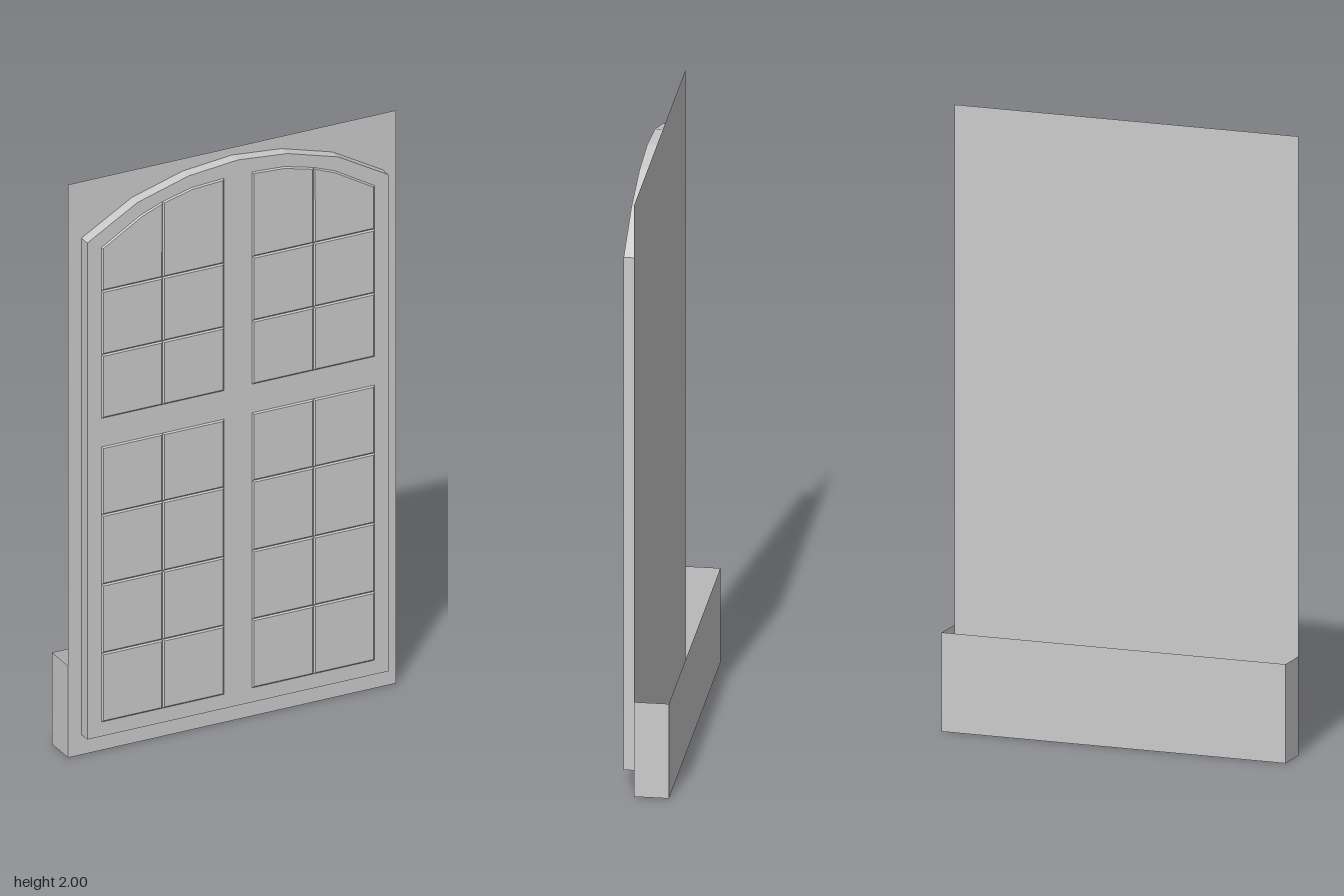
import * as THREE from 'three';

const WALL_Z = 0.033, FRAME_Z = 0.073, PANE_RISE = 0.004, HALF_W = 0.58;
const material = new THREE.MeshStandardMaterial({ color: 0xcccccc, flatShading: true });
const sheetMaterial = new THREE.MeshStandardMaterial({ color: 0xcccccc, flatShading: true, side: THREE.DoubleSide });

function addMesh(parent, name, geometry, mat = material) {
  const mesh = new THREE.Mesh(geometry, mat);
  mesh.name = name;
  parent.add(mesh);
  return mesh;
}

function outline(points) {
  return new THREE.Shape(points.map(([x, y]) => new THREE.Vector2(x, y)));
}

// Flat sheet, turned and then moved into place
function addSheet(parent, name, w, h, position, rotation = [0, 0, 0]) {
  const mesh = addMesh(parent, name, new THREE.PlaneGeometry(w, h), sheetMaterial);
  mesh.position.set(...position);
  mesh.rotation.set(...rotation);
}

// Slightly raised pane with a bevelled rim
function addPane(parent, points) {
  const geometry = new THREE.ExtrudeGeometry(outline(points), {
    depth: 0.0005, bevelEnabled: true, bevelSegments: 1,
    bevelThickness: PANE_RISE, bevelSize: 0.005, bevelOffset: -0.005,
  });
  addMesh(parent, 'pane', geometry).position.z = FRAME_Z - 0.0005;
}

export function createModel() {
  const model = new THREE.Group();
  model.name = 'archedWindow';

  // Thin wall behind the window
  addSheet(model, 'wall', HALF_W * 2, 2, [0, 1, WALL_Z]);

  // Open-topped box behind the foot of the wall
  const box = new THREE.Group();
  box.name = 'rearBox';
  model.add(box);
  const backZ = -0.077, depth = WALL_Z - backZ, midZ = (WALL_Z + backZ) / 2, height = 0.32;
  addSheet(box, 'boxBack', HALF_W * 2, height, [0, height / 2, backZ], [0, Math.PI, 0]);
  addSheet(box, 'boxBottom', HALF_W * 2, depth, [0, 0, midZ], [Math.PI / 2, 0, 0]);
  for (const side of [-1, 1]) {
    addSheet(box, 'boxEnd', depth, height, [side * HALF_W, height / 2, midZ], [0, side * Math.PI / 2, 0]);
  }

  // Arched frame slab
  const arch = [[0.533, 1.803], [0.355, 1.905], [0.175, 1.957]];
  const mirrored = arch.map(([x, y]) => [-x, y]).reverse();
  const frame = outline([[-0.533, 0.07], [0.533, 0.07], ...arch, [0, 1.974], ...mirrored]);
  addMesh(model, 'frame', new THREE.ExtrudeGeometry(frame, { depth: FRAME_Z - WALL_Z, bevelEnabled: false }))
    .position.z = WALL_Z;

  // Panes, both halves
  const columns = [[0.05, 0.267], [0.267, 0.483]];
  const rows = [[0.12, 0.36], [0.36, 0.6], [0.6, 0.843], [0.843, 1.08], [1.18, 1.402], [1.402, 1.625]];
  const archTops = [
    [[0.267, 1.888], [0.165, 1.914], [0.05, 1.921]],
    [[0.483, 1.776], [0.345, 1.858], [0.267, 1.888]],
  ];
  for (const side of [-1, 1]) {
    const panes = new THREE.Group();
    panes.name = side > 0 ? 'leftPanes' : 'rightPanes';
    model.add(panes);
    const place = (points) => addPane(panes, points.map(([x, y]) => [side * x, y]));
    columns.forEach(([x0, x1], i) => {
      for (const [y0, y1] of rows) place([[x0, y0], [x1, y0], [x1, y1], [x0, y1]]);
      place([[x0, 1.625], [x1, 1.625], ...archTops[i]]);
    });
  }
  return model;
}
